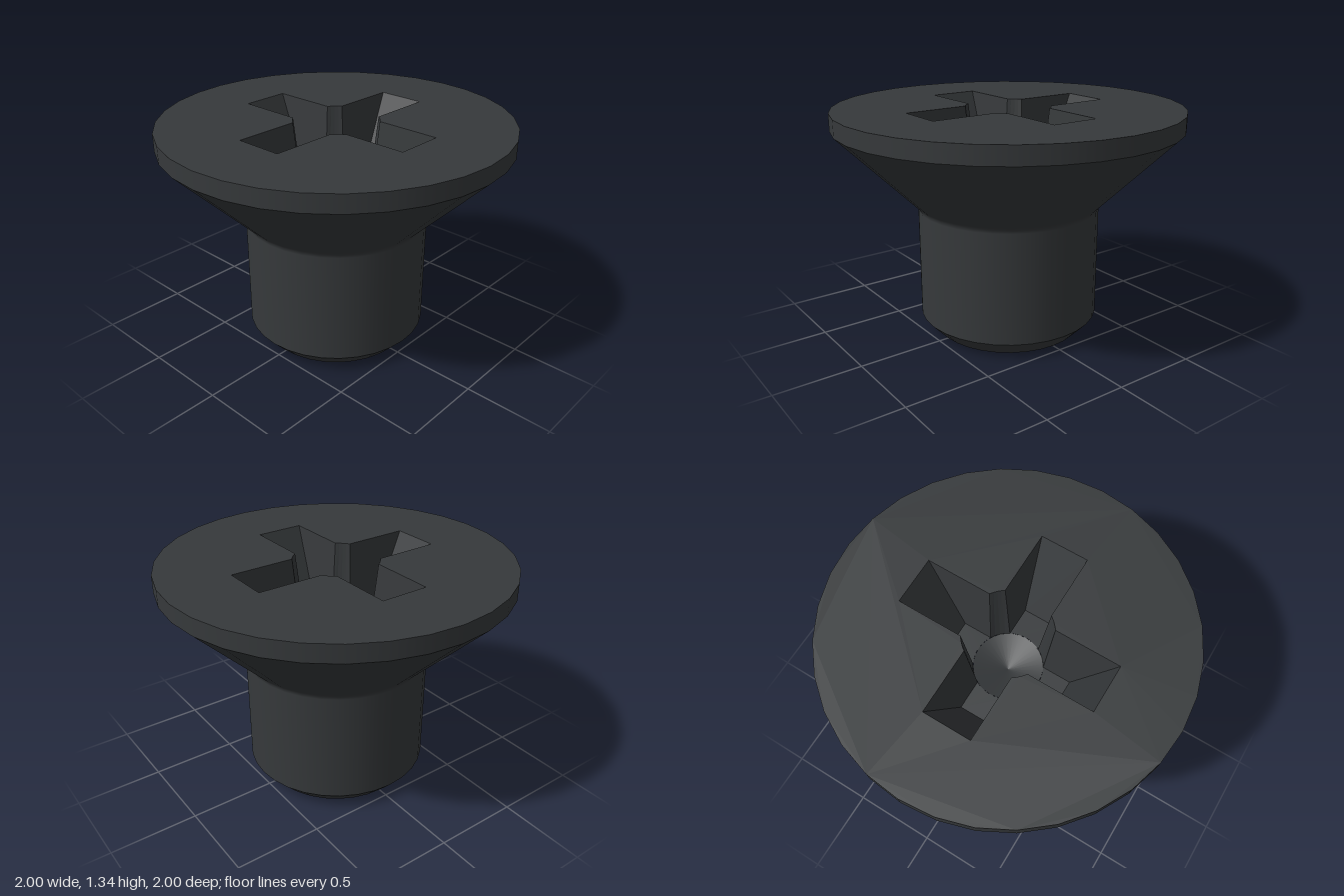
import * as THREE from 'three';

const SIDES = 32;
const TOP = 1.335, FLOOR = 0.87;
const material = new THREE.MeshStandardMaterial({ color: 0x36393b });

// Surface of revolution; each call is one smooth band, so edges between bands stay sharp
function turned(name, profile) {
  const points = profile.map(([r, y]) => new THREE.Vector2(r, y));
  const mesh = new THREE.Mesh(new THREE.LatheGeometry(points, SIDES), material);
  mesh.name = name;
  return mesh;
}

// Flat horizontal face from a 2D shape
function flat(name, shape, y) {
  const geometry = new THREE.ShapeGeometry(shape).rotateX(-Math.PI / 2).translate(0, y, 0);
  const mesh = new THREE.Mesh(geometry, material);
  mesh.name = name;
  return mesh;
}

// Cross outline with arms of half-width w and given reach, inner corners cut by a bore of radius r
function crossOutline(reach, w, r, steps = 4) {
  const points = [];
  const origin = new THREE.Vector2();
  const a = Math.asin(w / r);
  for (let arm = 0; arm < 4; arm++) {
    const quarter = [new THREE.Vector2(reach, -w), new THREE.Vector2(reach, w)];
    for (let i = 0; i <= steps; i++) {
      const t = a + (Math.PI / 2 - 2 * a) * i / steps;
      quarter.push(new THREE.Vector2(r * Math.cos(t), r * Math.sin(t)));
    }
    quarter.forEach(p => points.push(p.rotateAround(origin, arm * Math.PI / 2)));
  }
  return points;
}

// Faceted walls between the upper and lower outlines, facing inwards
function recessWalls(upper, lower) {
  const positions = [];
  const add = (p, y) => positions.push(p.x, y, -p.y);
  upper.forEach((p, i) => {
    const j = (i + 1) % upper.length;
    add(p, TOP); add(lower[j], FLOOR); add(lower[i], FLOOR);
    add(p, TOP); add(upper[j], TOP); add(lower[j], FLOOR);
  });
  const geometry = new THREE.BufferGeometry();
  geometry.setAttribute('position', new THREE.Float32BufferAttribute(positions, 3));
  geometry.computeVertexNormals();
  const mesh = new THREE.Mesh(geometry, material);
  mesh.name = 'recessWalls';
  return mesh;
}

export function createModel() {
  const screw = new THREE.Group();
  screw.name = 'countersunkScrew';

  // Shank, countersink and rim
  screw.add(
    turned('tipFace', [[0, 0], [0.44, 0]]),
    turned('tipChamfer', [[0.44, 0], [0.532, 0.097]]),
    turned('shankAndCountersink', [[0.532, 0.097], [0.532, 0.75], [0.536, 0.768], [0.548, 0.785], [1, 1.235]]),
    turned('headRim', [[1, 1.235], [1, TOP]])
  );

  // Head face with the cross opening
  const disc = [];
  for (let i = 0; i < SIDES; i++) {
    const t = i / SIDES * Math.PI * 2;
    disc.push(new THREE.Vector2(Math.cos(t), Math.sin(t)));
  }
  const upper = crossOutline(0.58, 0.14, 0.244);
  const lower = crossOutline(0.35, 0.095, 0.2);
  const face = new THREE.Shape(disc);
  face.holes.push(new THREE.Path(upper));
  screw.add(flat('headFace', face, TOP));

  // Cross recess: tapered walls, four arm floors and a conical centre
  screw.add(recessWalls(upper, lower));
  const a = Math.asin(0.095 / 0.2);
  for (let arm = 0; arm < 4; arm++) {
    const floor = new THREE.Shape();
    floor.moveTo(0.35, -0.095);
    floor.lineTo(0.35, 0.095);
    floor.absarc(0, 0, 0.2, a, -a, true);
    const mesh = flat('recessArmFloor', floor, FLOOR);
    mesh.rotation.y = arm * Math.PI / 2;
    screw.add(mesh);
  }
  screw.add(turned('recessCentreCone', [[0.2, FLOOR], [0, 0.81]]));

  return screw;
}
